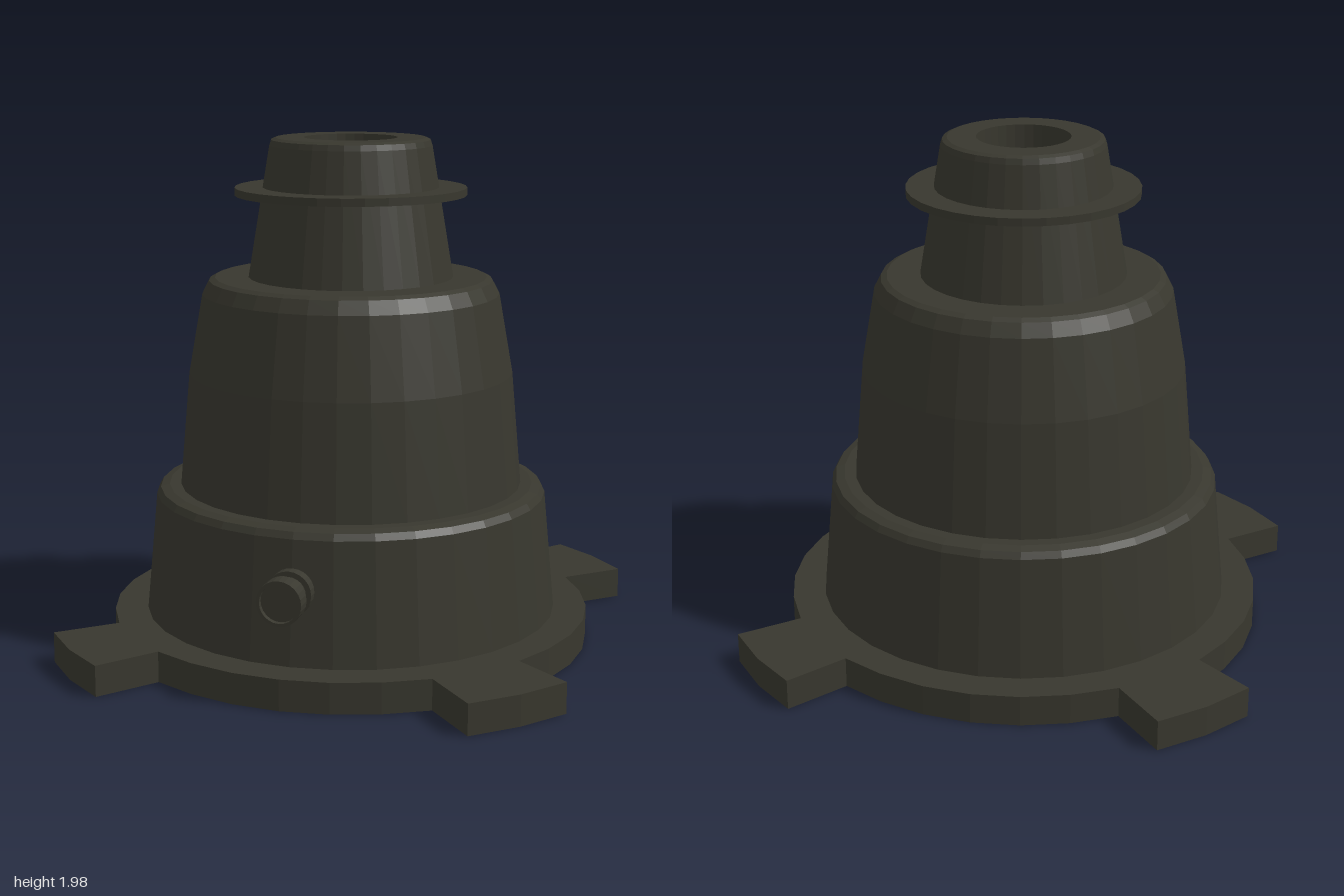
import * as THREE from 'three';

const SEGMENTS = 32;

export function createModel() {
  const model = new THREE.Group();
  const darkOlive = new THREE.MeshStandardMaterial({ color: 0x38372e, flatShading: true });
  darkOlive.name = 'dark olive metal';

  const add = (name, geometry) => {
    const mesh = new THREE.Mesh(geometry, darkOlive);
    mesh.name = name;
    model.add(mesh);
    return mesh;
  };
  // Profile pairs are [radius, height], listed from bottom to top
  const lathe = (profile, segments = SEGMENTS) =>
    new THREE.LatheGeometry(profile.map(([r, y]) => new THREE.Vector2(r, y)), segments);

  // Base plate: disc with four locking tabs, one quadrant repeated
  const quadrant = [
    [0, 0.945], [11.25, 0.945], [22.5, 0.945], [33.8, 0.948],
    [35.4, 1.21], [45.4, 1.21], [55.4, 1.21],
    [56.6, 0.948], [67.5, 0.945], [78.75, 0.945],
  ];
  const outline = [];
  for (let q = 0; q < 4; q++) {
    for (const [deg, r] of quadrant) {
      const a = THREE.MathUtils.degToRad(deg + q * 90);
      outline.push(new THREE.Vector2(r * Math.cos(a), r * Math.sin(a)));
    }
  }
  const plate = new THREE.ExtrudeGeometry(new THREE.Shape(outline), { depth: 0.12, bevelEnabled: false });
  plate.rotateX(-Math.PI / 2);
  add('basePlate', plate);

  // Stepped, tapering body
  add('lowerHousing', lathe([
    [0.815, 0.12], [0.77, 0.59], [0.755, 0.615], [0.72, 0.625], [0.6, 0.625],
  ]));
  add('upperHousing', lathe([
    [0.675, 0.62], [0.635, 1.07], [0.58, 1.38], [0.553, 1.432], [0.53, 1.443], [0.35, 1.443],
  ]));

  // Neck with an open bore
  add('neck', lathe([
    [0.4, 1.44], [0.315, 1.95], [0.308, 1.972], [0.29, 1.98],
    [0.18, 1.98], [0.18, 1.5], [0, 1.5],
  ]));
  add('neckFlange', lathe([
    [0.3, 1.76], [0.45, 1.76], [0.45, 1.79], [0.3, 1.79],
  ]));

  // Side fitting: collar, waist and cap with a shallow recess
  const fitting = lathe([
    [0.085, 0.76], [0.085, 0.82], [0.065, 0.82], [0.065, 0.875], [0.085, 0.875],
    [0.085, 0.94], [0.073, 0.94], [0.073, 0.92], [0, 0.92],
  ], 24);
  fitting.rotateX(Math.PI / 2);
  add('sideFitting', fitting).position.y = 0.4;

  return model;
}
